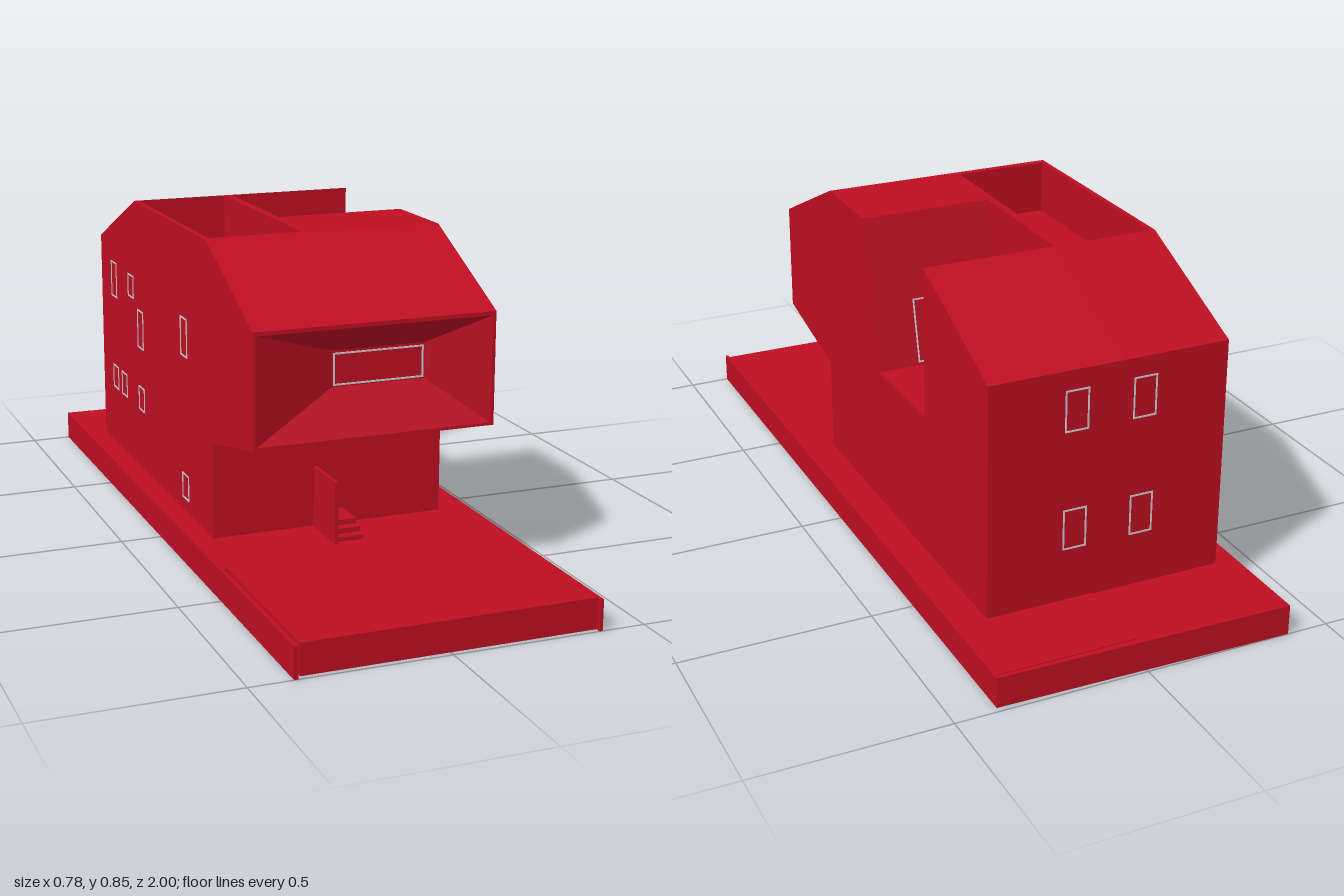
import * as THREE from 'three';

const red = new THREE.MeshStandardMaterial({ color: 0xbe0f22, flatShading: true });
const grey = new THREE.MeshStandardMaterial({ color: 0xcccccc });

function add(parent, name, geometry, material = red) {
  const mesh = new THREE.Mesh(geometry, material);
  mesh.name = name;
  parent.add(mesh);
  return mesh;
}

// Box given by its minimum and maximum corners
function block(parent, name, [x0, y0, z0], [x1, y1, z1]) {
  add(parent, name, new THREE.BoxGeometry(x1 - x0, y1 - y0, z1 - z0))
    .position.set((x0 + x1) / 2, (y0 + y1) / 2, (z0 + z1) / 2);
}

const shapeOf = (points) => new THREE.Shape(points.map(([a, b]) => new THREE.Vector2(a, b)));

// Side profile of [z, y] points, extruded across x0..x1
function slice(parent, name, points, x0, x1) {
  const g = new THREE.ExtrudeGeometry(shapeOf(points), { depth: x1 - x0, bevelEnabled: false });
  g.rotateY(-Math.PI / 2).translate(x1, 0, 0);
  add(parent, name, g);
}

// Thin rectangular outline, w by h, in the local XY plane
function windowFrame(parent, name, w, h, position, rotX = 0, rotY = 0, t = 0.004) {
  const frame = new THREE.Group();
  frame.name = name;
  for (const s of [-1, 1]) {
    add(frame, 'frameRail', new THREE.BoxGeometry(w, t, 0.004), grey).position.y = s * (h - t) / 2;
    add(frame, 'frameStile', new THREE.BoxGeometry(t, h, 0.004), grey).position.x = s * (w - t) / 2;
  }
  frame.position.set(...position);
  frame.rotation.set(rotX, rotY, 0);
  parent.add(frame);
}

// Closed surface through rectangles [x0, x1, y0, y1, z], capped on the last one
function loftRects(rects) {
  const pos = [], index = [];
  for (const [x0, x1, y0, y1, z] of rects) pos.push(x0, y0, z, x1, y0, z, x1, y1, z, x0, y1, z);
  for (let r = 0; r < rects.length - 1; r++) {
    for (let i = 0; i < 4; i++) {
      const a = r * 4 + i, b = r * 4 + (i + 1) % 4;
      index.push(a, b, b + 4, a, b + 4, a + 4);
    }
  }
  const n = (rects.length - 1) * 4;
  index.push(n, n + 1, n + 2, n, n + 2, n + 3);
  const g = new THREE.BufferGeometry();
  g.setAttribute('position', new THREE.Float32BufferAttribute(pos, 3));
  g.setIndex(index);
  const flat = g.toNonIndexed();
  flat.computeVertexNormals();
  return flat;
}

export function createModel() {
  const model = new THREE.Group();
  model.name = 'house';
  const xl = -0.333, xr = 0.302;

  // Plot slab with a narrow slot beside its front edge wall
  const plot = new THREE.ExtrudeGeometry(shapeOf([
    [-0.39, -1], [0.388, -0.985], [0.388, 1], [0.38, 1], [0.38, 0.985],
    [-0.37, 0.985], [-0.37, 0.49], [-0.38, 0.49], [-0.38, 1], [-0.39, 1],
  ]), { depth: 0.08, bevelEnabled: false });
  plot.rotateX(Math.PI / 2).translate(0, 0.08, 0);
  add(model, 'plot', plot);
  block(model, 'rearPaving', [0.02, 0.078, -0.975], [0.38, 0.082, -0.75]);

  // Body in slices across x; each differs only in what is cut from the flat roof
  const lower = [[-0.75, 0.08], [0.275, 0.08], [0.275, 0.335], [0.5, 0.383], [0.5, 0.728], [0.24, 0.85]];
  const rear = [[-0.385, 0.85], [-0.75, 0.692]];
  const roofWell = [[0.22, 0.85], [0.22, 0.71], [-0.385, 0.71]];
  const terrace = [[0, 0.85], [-0.09, 0.455], [-0.385, 0.455]];
  const profile = (cut) => [...lower, ...cut, ...rear];
  slice(model, 'leftParapet', profile([]), xl, -0.32);
  slice(model, 'roofWellBody', profile(roofWell), -0.32, -0.07);
  slice(model, 'dividingWall', profile([]), -0.07, -0.05);
  slice(model, 'terraceBody', profile(terrace), -0.05, xr);
  block(model, 'skylight', [-0.235, 0.705, -0.3], [-0.155, 0.714, -0.22]);

  // Overhanging front with a funnel-shaped window recess
  add(model, 'frontFunnel', loftRects([
    [xl, xr, 0.383, 0.728, 0.5],
    [xl, xr, 0.4, 0.69, 0.58],
    [-0.325, 0.293, 0.407, 0.68, 0.58],
    [-0.105, 0.143, 0.518, 0.61, 0.51],
  ]));
  windowFrame(model, 'frontWindow', 0.24, 0.082, [0.019, 0.563, 0.511]);

  // Entrance fin and steps
  block(model, 'entranceFin', [-0.061, 0.08, 0.285], [-0.051, 0.245, 0.43]);
  [0.415, 0.39, 0.365].forEach((z, i) =>
    block(model, 'entranceStep', [-0.051, 0.08, 0.275], [0.025, 0.092 + i * 0.014, z]));

  // Rear windows
  for (const x of [0.072, -0.109]) {
    for (const y of [0.588, 0.275]) windowFrame(model, 'rearWindow', 0.063, 0.108, [x, y, -0.75]);
  }

  // Right-hand side wall windows: [z centre, y centre, height]
  const sideWindows = [
    [-0.615, 0.583, 0.105], [-0.44, 0.598, 0.066], [-0.35, 0.49, 0.11], [0.05, 0.56, 0.105],
    [-0.615, 0.288, 0.07], [-0.525, 0.288, 0.07], [-0.35, 0.288, 0.07], [0.05, 0.15, 0.07],
  ];
  for (const [z, y, h] of sideWindows) {
    windowFrame(model, 'sideWindow', 0.055, h, [xl, y, z], 0, Math.PI / 2);
  }

  // Terrace windows on the inner, back and sloping walls
  windowFrame(model, 'terraceInnerWindow', 0.165, 0.11, [-0.05, 0.585, -0.237], 0, Math.PI / 2);
  windowFrame(model, 'terraceBackWindow', 0.165, 0.11, [0.11, 0.588, -0.385]);
  windowFrame(model, 'terraceSlopeWindow', 0.24, 0.17, [0.07, 0.545, -0.0695], Math.atan2(0.09, 0.395));

  return model;
}
